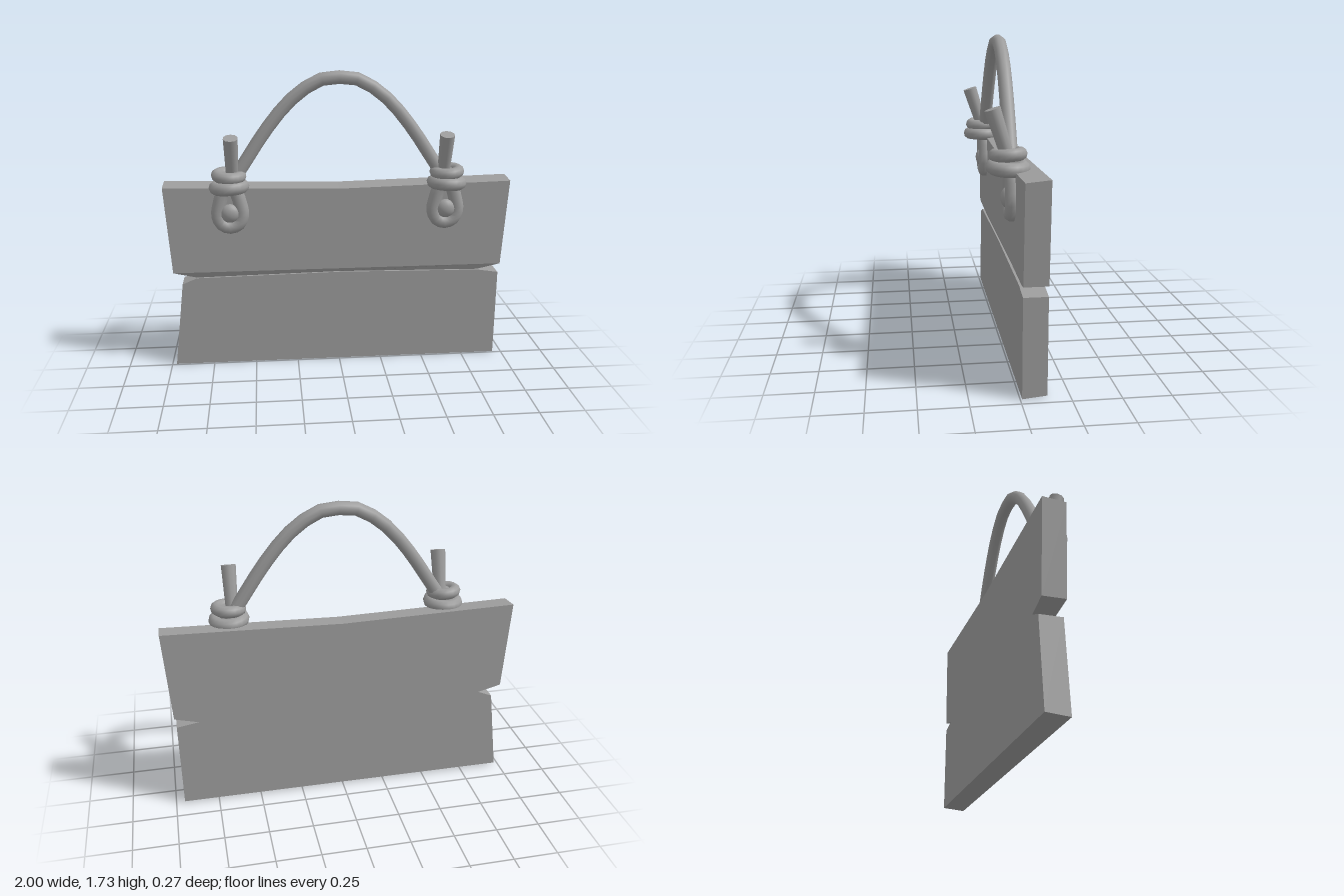
import * as THREE from 'three';

const FRONT = -0.01, BACK = -0.135;
const material = new THREE.MeshStandardMaterial({ color: 0x9d9d9d });
const v = (x, y, z = 0) => new THREE.Vector3(x, y, z);

function addMesh(parent, name, geometry) {
  const mesh = new THREE.Mesh(geometry, material);
  mesh.name = name;
  parent.add(mesh);
  return mesh;
}

// Slab cut from an outline; the board's top and bottom edges rise slightly
// towards the back. `recess` tells how far a front vertex is pushed inwards.
function slab(outline, recess = () => 0) {
  const shape = new THREE.Shape(outline.map(([x, y]) => new THREE.Vector2(x, y)));
  const g = new THREE.ExtrudeGeometry(shape, { depth: FRONT - BACK, bevelEnabled: false });
  g.translate(0, 0, BACK);
  const p = g.attributes.position;
  for (let i = 0; i < p.count; i++) {
    const y = p.getY(i);
    if (p.getZ(i) > (FRONT + BACK) / 2) p.setZ(i, FRONT - recess(y));
    else if (y < 0.1 || y > 1) p.setY(i, y + 0.012);
  }
  g.computeVertexNormals();
  return g;
}

// Rope knot with hanging loop, peg and loose end; side is -1 or 1
function makeKnot(side) {
  const knot = new THREE.Group();
  knot.name = side > 0 ? 'leftKnot' : 'rightKnot';
  knot.position.x = side > 0 ? 0.616 : -0.624;

  // Two wraps of rope, slightly tilted
  [[1.155, 0.066, 0.033, 0.06], [1.09, 0.077, 0.037, -0.05]].forEach(([y, R, r, tilt]) => {
    const ring = addMesh(knot, 'ropeWrap', new THREE.TorusGeometry(R, r, 10, 20));
    ring.position.set(0, y, 0.017);
    ring.rotation.set(Math.PI / 2 + tilt, tilt * side, 0);
  });
  addMesh(knot, 'knotCore', new THREE.CylinderGeometry(0.055, 0.055, 0.09, 12))
    .position.set(0, 1.125, 0.017);

  // Teardrop loop
  const half = [[0.035, 1.06], [0.058, 0.99], [0.069, 0.925], [0.048, 0.87]];
  const loop = [v(0, 1.1), ...half.map(([x, y]) => v(x, y)), v(0, 0.85),
    ...half.slice().reverse().map(([x, y]) => v(-x, y))];
  addMesh(knot, 'ropeLoop', new THREE.TubeGeometry(
    new THREE.CatmullRomCurve3(loop, true), 24, 0.04, 10, true));

  // Domed peg the loop hangs on
  const peg = addMesh(knot, 'peg', new THREE.SphereGeometry(0.054, 14, 10));
  peg.position.set(0, 0.935, 0.018);
  peg.scale.z = 0.68;

  // Loose end leaning forwards
  const from = v(-side * 0.02, 1.13, 0.012), to = v(-side * 0.02, 1.38, 0.092);
  const dir = to.clone().sub(from);
  const end = addMesh(knot, 'ropeEnd', new THREE.CylinderGeometry(0.042, 0.034, dir.length(), 10));
  end.position.copy(from).add(to).multiplyScalar(0.5);
  end.quaternion.setFromUnitVectors(v(0, 1), dir.normalize());
  return knot;
}

export function createModel() {
  const model = new THREE.Group();
  model.name = 'hangingSign';

  // Board: upper plank, bevelled seam strip and lower plank
  const board = new THREE.Group();
  board.name = 'board';
  model.add(board);
  const seam = [[-0.83, 0.54], [0, 0.553], [0.83, 0.54]];
  addMesh(board, 'upperPlank', slab(
    [[-0.965, 0.575], [0.965, 0.575], [1, 1.083], [0, 1.058], [-1, 1.083]]));
  addMesh(board, 'seamBevel', slab(
    [...seam, [0.965, 0.575], [-0.965, 0.575]], y => (y < 0.57 ? 0.013 : 0)));
  addMesh(board, 'lowerPlank', slab(
    [[-0.975, 0], [0.95, 0], [0.955, 0.52], ...seam.slice().reverse(), [-0.915, 0.505]]));

  // Arched rope handle
  const arc = [[0.62, 1.09], [0.535, 1.22], [0.4, 1.42], [0.26, 1.58], [0.11, 1.678]];
  const bow = x => -0.008 * (1 - (x / 0.62) ** 2);
  const path = [...arc.map(([x, y]) => v(-x, y, bow(x))), v(0, 1.692, bow(0)),
    ...arc.slice().reverse().map(([x, y]) => v(x, y, bow(x)))];
  addMesh(model, 'ropeHandle', new THREE.TubeGeometry(
    new THREE.CatmullRomCurve3(path), 18, 0.038, 10, false));

  model.add(makeKnot(-1), makeKnot(1));
  return model;
}
